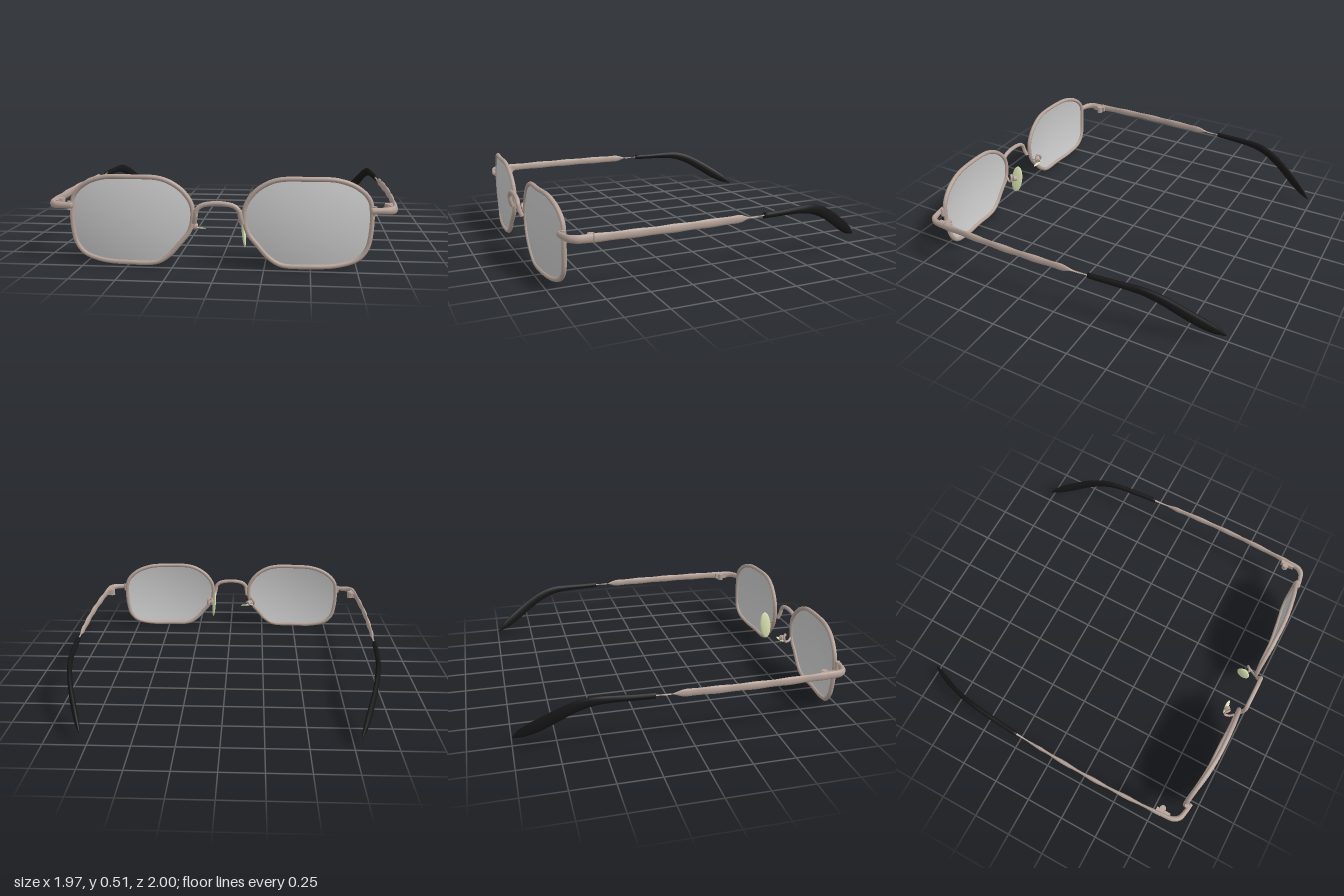
import * as THREE from 'three';

const metal = new THREE.MeshStandardMaterial({ color: 0xb5a298 });
const glass = new THREE.MeshStandardMaterial({ color: 0xcccccc, side: THREE.DoubleSide });
const rubber = new THREE.MeshStandardMaterial({ color: 0x161616 });
const silicone = new THREE.MeshStandardMaterial({ color: 0xdfeab8 });

// Centre line of one rim, seen from the front
const OUTLINE = [
  [0.33, 0.492], [0.49, 0.497], [0.64, 0.49], [0.745, 0.45], [0.81, 0.385], [0.825, 0.30],
  [0.817, 0.17], [0.80, 0.11], [0.755, 0.058], [0.65, 0.025], [0.49, 0.018], [0.34, 0.025],
  [0.27, 0.068], [0.215, 0.13], [0.16, 0.20], [0.142, 0.27], [0.147, 0.345], [0.19, 0.415], [0.255, 0.465],
];

// Depth of the spherical lens surface
const domeZ = (x, y) => 0.978 - ((Math.abs(x) - 0.42) ** 2 + (y - 0.26) ** 2) / 2.6;

const vec = (s, [x, y, z]) => new THREE.Vector3(s * x, y, z);
const curve = (s, pts, closed = false) => new THREE.CatmullRomCurve3(pts.map((p) => vec(s, p)), closed);

function part(parent, name, geometry, material) {
  const mesh = new THREE.Mesh(geometry, material);
  mesh.name = name;
  parent.add(mesh);
  return mesh;
}

// Sweeps an ellipse along points [x, y, z, halfWidth, halfHeight]
function sweep(s, pts, steps, sides = 12) {
  const path = curve(s, pts);
  const sizes = new THREE.CatmullRomCurve3(pts.map((p) => new THREE.Vector3(p[3], p[4], 0)));
  const up = new THREE.Vector3(0, 1, 0);
  const pos = [], idx = [];
  for (let i = 0; i <= steps; i++) {
    const t = i / steps;
    const c = path.getPoint(t), tan = path.getTangent(t), r = sizes.getPoint(t);
    const side = new THREE.Vector3().crossVectors(up, tan).normalize();
    const nor = new THREE.Vector3().crossVectors(tan, side);
    for (let j = 0; j < sides; j++) {
      const a = (j / sides) * Math.PI * 2;
      const v = c.clone().addScaledVector(side, Math.cos(a) * r.x).addScaledVector(nor, Math.sin(a) * r.y);
      pos.push(v.x, v.y, v.z);
      if (i < steps) {
        const k = (j + 1) % sides, p = i * sides, q = p + sides;
        idx.push(p + j, p + k, q + j, p + k, q + k, q + j);
      }
    }
  }
  // End caps
  const last = steps * sides;
  for (let j = 1; j < sides - 1; j++) idx.push(0, j + 1, j, last, last + j, last + j + 1);
  const g = new THREE.BufferGeometry();
  g.setAttribute('position', new THREE.Float32BufferAttribute(pos, 3));
  g.setIndex(idx);
  g.computeVertexNormals();
  return g;
}

// Domed lens made of rings shrinking towards the middle
function lensGeometry(rim, s, rings = 8, n = 72) {
  const pos = [], idx = [];
  for (let i = 0; i <= rings; i++) {
    for (let j = 0; j < n; j++) {
      const p = rim.getPoint(j / n), k = 1 - i / rings;
      const x = s * 0.48 + (p.x - s * 0.48) * k, y = 0.26 + (p.y - 0.26) * k;
      pos.push(x, y, domeZ(x, y));
      if (i < rings) {
        const m = (j + 1) % n, a = i * n, b = a + n;
        if (s > 0) idx.push(a + j, b + j, a + m, a + m, b + j, b + m);
        else idx.push(a + j, a + m, b + j, a + m, b + m, b + j);
      }
    }
  }
  // The outline runs clockwise on +x, so flip to face the front
  idx.reverse();
  const g = new THREE.BufferGeometry();
  g.setAttribute('position', new THREE.Float32BufferAttribute(pos, 3));
  g.setIndex(idx);
  g.computeVertexNormals();
  return g;
}

function buildSide(s) {
  const g = new THREE.Group();
  g.name = s > 0 ? 'leftSide' : 'rightSide';

  // Rim and lens
  const rim = curve(s, OUTLINE.map(([x, y]) => [x, y, domeZ(x, y)]), true);
  part(g, 'rim', new THREE.TubeGeometry(rim, 120, 0.0135, 10, true), metal);
  part(g, 'lens', lensGeometry(rim, s), glass);

  // End piece curving from the rim back to the hinge
  part(g, 'endPiece', sweep(s, [
    [0.815, 0.328, 0.94, 0.012, 0.017], [0.87, 0.328, 0.93, 0.014, 0.018], [0.92, 0.328, 0.915, 0.016, 0.021],
    [0.945, 0.328, 0.885, 0.016, 0.023], [0.953, 0.328, 0.84, 0.014, 0.024], [0.957, 0.328, 0.78, 0.012, 0.024],
  ], 24), metal);

  // Hinge knuckles and screws
  const knuckle = part(g, 'hingeKnuckle', new THREE.CylinderGeometry(0.02, 0.02, 0.045, 14), metal);
  knuckle.position.set(s * 0.922, 0.322, 0.8);
  const leaf = part(g, 'hingeLeaf', new THREE.BoxGeometry(0.03, 0.035, 0.09), metal);
  leaf.position.set(s * 0.942, 0.325, 0.81);
  const screw = part(g, 'rimScrew', new THREE.CylinderGeometry(0.013, 0.013, 0.05, 12), metal);
  screw.position.set(s * 0.838, 0.325, 0.921);

  // Temple arm with gentle scallops, narrowing to a thin rod
  const arm = [];
  for (let i = 0; i <= 28; i++) {
    const z = 0.8 - i * 0.03;
    const wave = Math.cos((z - 0.35) * Math.PI * 2 / 0.22);
    arm.push([0.957 + 0.013 * Math.sin(Math.PI * i / 30), 0.328, z, 0.0105 + 0.0025 * wave, 0.024 + 0.0015 * wave]);
  }
  arm.push([0.959, 0.328, -0.075, 0.009, 0.02], [0.957, 0.328, -0.11, 0.007, 0.008], [0.95, 0.328, -0.25, 0.007, 0.008]);
  part(g, 'temple', sweep(s, arm, 120), metal);

  // Ear tip bending down and inwards
  part(g, 'earTip', sweep(s, [
    [0.952, 0.328, -0.22, 0.014, 0.018], [0.944, 0.328, -0.34, 0.015, 0.019], [0.934, 0.328, -0.46, 0.015, 0.022],
    [0.922, 0.32, -0.56, 0.015, 0.028], [0.903, 0.287, -0.66, 0.015, 0.032], [0.876, 0.23, -0.76, 0.015, 0.035],
    [0.84, 0.165, -0.86, 0.016, 0.036], [0.808, 0.115, -0.94, 0.013, 0.027], [0.784, 0.08, -0.995, 0.004, 0.005],
  ], 48), rubber);

  // Nose pad: flattened ellipsoid, slanted and turned towards the nose
  const v = new THREE.Vector3(s * 0.28, -0.96, 0).normalize();
  const w = new THREE.Vector3(s * 0.6, 0, -0.8);
  const n = new THREE.Vector3().crossVectors(v, w).normalize();
  w.crossVectors(n, v);
  const pad = part(g, 'nosePad', new THREE.SphereGeometry(1, 28, 18), silicone);
  pad.scale.set(0.05, 0.105, 0.014);
  pad.quaternion.setFromRotationMatrix(new THREE.Matrix4().makeBasis(w, v, n));
  pad.position.set(s * 0.13, 0.203, 0.873);

  // Curled pad arm and its mount
  const curl = curve(s, [[0.155, 0.215, 0.94], [0.172, 0.2, 0.915], [0.182, 0.205, 0.89],
    [0.18, 0.235, 0.88], [0.165, 0.25, 0.893], [0.152, 0.235, 0.9], [0.14, 0.215, 0.882]]);
  part(g, 'padArm', new THREE.TubeGeometry(curl, 36, 0.008, 8), metal);
  const mount = part(g, 'padMount', new THREE.CylinderGeometry(0.02, 0.02, 0.022, 14), metal);
  mount.quaternion.setFromUnitVectors(new THREE.Vector3(0, 1, 0), n);
  mount.position.set(s * 0.143, 0.215, 0.882);
  return g;
}

export function createModel() {
  const model = new THREE.Group();
  model.name = 'eyeglasses';
  for (const s of [1, -1]) model.add(buildSide(s));

  // Arched bridge between the rims
  const arch = [[0.13, 0.25, 0.966], [0.122, 0.29, 0.98], [0.115, 0.325, 0.984], [0.09, 0.349, 0.984], [0.045, 0.361, 0.984]];
  const mirrored = arch.map(([x, y, z]) => [-x, y, z]).reverse();
  part(model, 'bridge', new THREE.TubeGeometry(curve(1, [...arch, [0, 0.364, 0.984], ...mirrored]), 60, 0.0135, 10), metal);
  return model;
}
